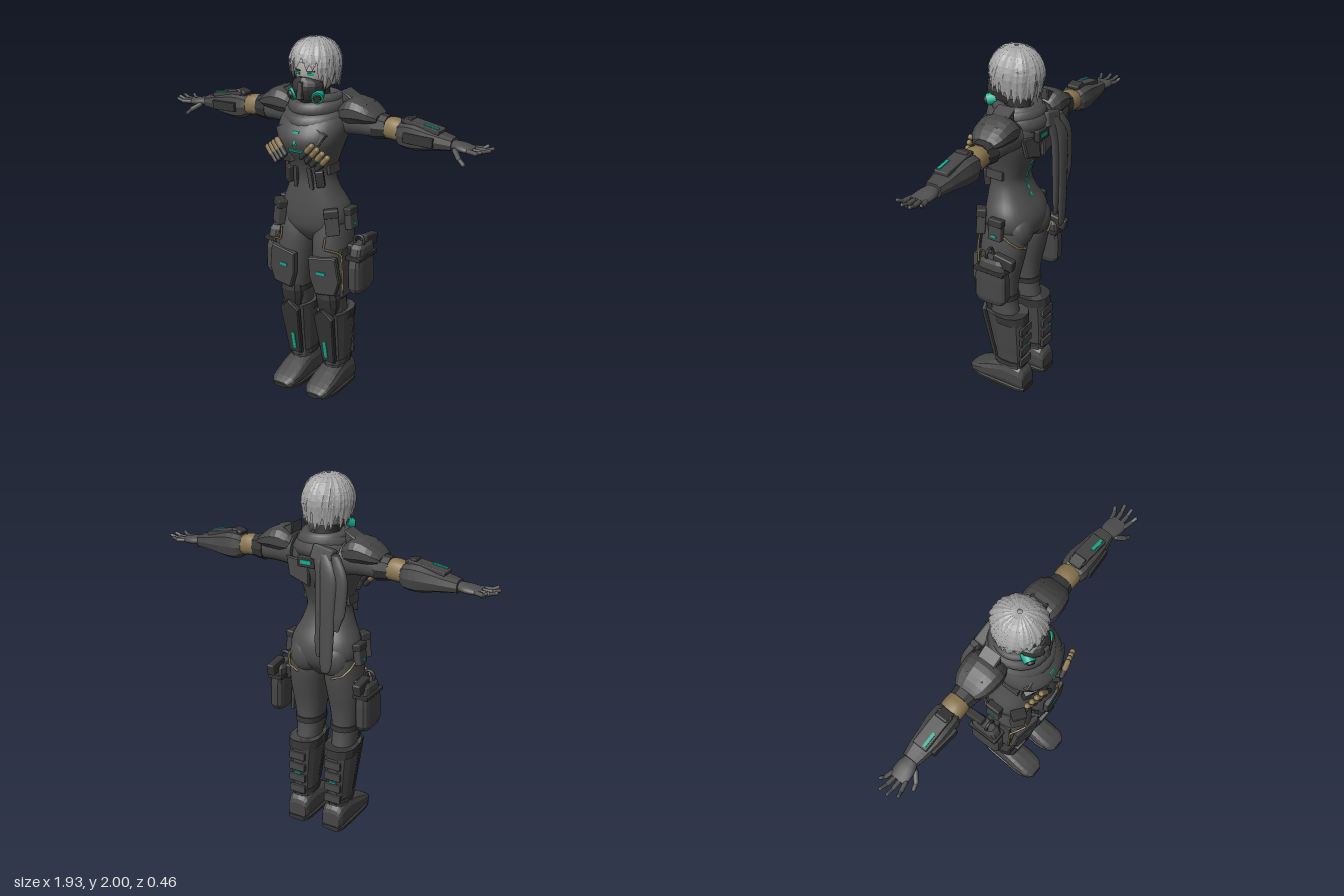
import * as THREE from 'three';
import { RoundedBoxGeometry } from 'three/addons/geometries/RoundedBoxGeometry.js';

const V = (x, y, z) => new THREE.Vector3(x, y, z);
const mat = (name, color) => Object.assign(new THREE.MeshStandardMaterial({ color }), { name });

// Closed skin over rows of points, with capped ends, always facing outwards
function surface(rows, flat) {
  const n = rows[0].length, pos = [], idx = [];
  rows.forEach(r => r.forEach(p => pos.push(p.x, p.y, p.z)));
  for (let i = 0; i < rows.length - 1; i++) for (let j = 0; j < n; j++) {
    const a = i * n + j, b = i * n + (j + 1) % n;
    idx.push(a, b, b + n, a, b + n, a + n);
  }
  [rows[0], rows[rows.length - 1]].forEach((r, end) => {
    const base = pos.length / 3;
    r.forEach(p => pos.push(p.x, p.y, p.z));
    for (let j = 1; j < n - 1; j++) idx.push(base, base + j + (end ? 0 : 1), base + j + (end ? 1 : 0));
  });
  let vol = 0;
  const P = i => V(pos[i * 3], pos[i * 3 + 1], pos[i * 3 + 2]);
  for (let i = 0; i < idx.length; i += 3) vol += P(idx[i]).dot(P(idx[i + 1]).cross(P(idx[i + 2])));
  let g = new THREE.BufferGeometry();
  g.setAttribute('position', new THREE.Float32BufferAttribute(pos, 3));
  g.setIndex(vol < 0 ? idx.reverse() : idx);
  if (flat) g = g.toNonIndexed();
  g.computeVertexNormals();
  return g;
}

// Rings [t, a0, a1, b0, b1] along an axis; power above 2 makes the section squarer
function loft(axis, rings, { sides = 20, power = 2.3, sub = 4, flat = false } = {}) {
  const fine = [], at = i => rings[Math.max(0, Math.min(rings.length - 1, i))];
  for (let i = 0; i < rings.length - 1; i++) for (let s = 0; s < sub; s++) {
    const t = s / sub;
    fine.push(rings[0].map((_, k) => {
      const [p, q, r, w] = [at(i - 1)[k], at(i)[k], at(i + 1)[k], at(i + 2)[k]];
      return q + 0.5 * t * (r - p + t * (2 * p - 5 * q + 4 * r - w + t * (3 * (q - r) + w - p)));
    }));
  }
  fine.push(at(rings.length));
  const e = c => Math.sign(c) * Math.abs(c) ** (2 / power);
  return surface(fine.map(([t, a0, a1, b0, b1]) => Array.from({ length: sides }, (_, j) => {
    const th = (j + 0.5) / sides * Math.PI * 2;
    const a = (a0 + a1) / 2 + (a1 - a0) / 2 * e(Math.cos(th)), b = (b0 + b1) / 2 + (b1 - b0) / 2 * e(Math.sin(th));
    return axis === 'y' ? V(a, t, b) : axis === 'x' ? V(t, a, b) : V(a, b, t);
  })), flat);
}

const box = (w, h, d, x, y, z, rx = 0, ry = 0, rz = 0) =>
  new RoundedBoxGeometry(w, h, d, 1, Math.min(w, h, d) * 0.18).rotateX(rx).rotateY(ry).rotateZ(rz).translate(x, y, z);

function plate(pts, depth, x = 0, y = 0, z = 0, rx = 0, ry = 0) {
  const s = new THREE.Shape(pts.map(p => new THREE.Vector2(...p)));
  return new THREE.ExtrudeGeometry(s, { depth, bevelThickness: 0.006, bevelSize: 0.006, bevelSegments: 1 })
    .rotateX(rx).rotateY(ry).translate(x, y, z);
}

function rod(a, b, r) {
  const d = b.clone().sub(a), q = new THREE.Quaternion().setFromUnitVectors(V(0, 1, 0), d.clone().normalize());
  return new THREE.CapsuleGeometry(r, d.length(), 3, 8).applyQuaternion(q).translate(...a.clone().add(b).multiplyScalar(0.5));
}

const cord = (pts, r) => new THREE.TubeGeometry(
  new THREE.CatmullRomCurve3(pts.map(p => V(...p)), false, 'catmullrom', 0.15), pts.length * 6, r, 5);

function mirror(g) {
  const m = g.clone().scale(-1, 1, 1);
  m.clearGroups();
  m.setIndex((m.index ? [...m.index.array] : [...Array(m.attributes.position.count).keys()]).reverse());
  return m;
}

export function createModel() {
  const model = new THREE.Group();
  model.name = 'armouredFigure';
  const suit = mat('suitGrey', 0x4e4e4e), armour = mat('armourGrey', 0x464646), dark = mat('darkGrey', 0x353535);
  const tan = mat('tan', 0x8a7650), teal = mat('teal', 0x0fae90), hair = mat('hairGrey', 0xa4a4a4), skin = mat('paleSkin', 0xa9a6a3);
  const add = (name, g, m) => { const o = new THREE.Mesh(g, m); o.name = name; model.add(o); return o; };
  const both = (name, g, m) => { add(name + 'Left', g, m); add(name + 'Right', mirror(g), m); };
  // Thin painted plate laid on whatever surface the ray meets first
  const decal = (name, m, w, h, from, dir, pair, spin = 0) => {
    const hit = new THREE.Raycaster(V(...from), V(...dir)).intersectObjects(model.children)[0];
    if (!hit) return;
    const n = hit.face.normal, up = Math.abs(n.y) > 0.8 ? V(0, 0, -1) : V(0, 1, 0);
    const g = new THREE.BoxGeometry(w, h, 0.009).rotateZ(spin)
      .applyMatrix4(new THREE.Matrix4().lookAt(n, V(0, 0, 0), up)).translate(...hit.point);
    pair ? both(name, g, m) : add(name, g, m);
  };
  const F = [0, 0, -1], B = [0, 0, 1];

  // Torso, neck
  add('torso', loft('y', [[0.91, -.05, .05, -.08, .06], [0.98, -.165, .165, -.145, .11], [1.05, -.195, .195, -.165, .125],
    [1.12, -.185, .185, -.15, .125], [1.2, -.148, .148, -.105, .12], [1.28, -.125, .125, -.078, .115], [1.36, -.135, .135, -.1, .14],
    [1.44, -.16, .16, -.135, .185], [1.5, -.178, .178, -.16, .2], [1.57, -.185, .185, -.175, .165], [1.64, -.15, .15, -.16, .1],
    [1.69, -.07, .07, -.11, .04]], { sides: 32 }), suit);
  add('neck', loft('y', [[1.62, -.06, .06, -.1, .04], [1.78, -.055, .055, -.08, .05]]), dark);
  both('buttock', new THREE.SphereGeometry(1, 16, 12).scale(.088, .1, .07).translate(.085, 1.02, -.095), suit);
  // Chest and belly armour
  both('chestPlate', plate([[.015, 0], [.12, .02], [.15, .07], [.1, .1], [.015, .08]], .02, 0, 1.46, .17, -.25, .2), armour);
  both('ribPlate', box(.1, .05, .03, .085, 1.385, .135, .3, .45, -.25), armour);
  both('bellyPouch', box(.045, .09, .035, .095, 1.285, .105, .15, .5, .15), dark);
  both('bellyStrap', box(.025, .12, .02, .045, 1.28, .118, .15, .15, .1), armour);
  both('waistBand', box(.02, .05, .1, .13, 1.33, .03, 0, 0, .1), armour);
  both('shoulderBlade', plate([[.02, 0], [.13, .04], [.15, .13], [.03, .12]], .015, 0, 1.44, -.172, .1), armour);
  for (let i = 0; i < 7; i++) decal('spineLight', teal, .016, .022, [0, 1.2 + i * .037, -1], B, false);
  add('backUnit', box(.1, .06, .03, .02, 1.57, -.18), dark);
  decal('backLight', teal, .06, .02, [.02, 1.57, -1], B, false);
  decal('chestBar', teal, .085, .016, [0, 1.44, 1], F, false);
  add('chestWedge', plate([[-.018, .07], [-.004, 0], [.004, 0], [.018, .07]], .001, 0, 1.475, .198, -.3), teal);

  // Rounds carried under the chest
  for (let i = 0; i < 4; i++) {
    const a = V(.08 + i * .026, 1.458 - i * .019, .205 - i * .009), b = V(a.x - .03, a.y - .035, a.z + .004);
    both('round', rod(a, a.clone().add(V(.025, .03, -.004)), .016), tan);
    both('roundCap', rod(a, b, .0145), dark);
  }

  // Arms
  both('upperArm', loft('x', [[.14, 1.5, 1.67, -.15, .03], [.25, 1.51, 1.65, -.14, .02], [.33, 1.51, 1.63, -.13, .005],
    [.41, 1.515, 1.62, -.12, -.01]]), suit);
  both('shoulderGuard', loft('x', [[.15, 1.57, 1.67, -.14, .03], [.2, 1.56, 1.71, -.16, .05], [.26, 1.57, 1.705, -.16, .05],
    [.32, 1.58, 1.67, -.15, .035], [.36, 1.59, 1.635, -.125, .005]], { sides: 12, flat: true, sub: 2 }), armour);
  both('shoulderFin', plate([[.155, 1.73], [.225, 1.69], [.29, 1.68], [.24, 1.6], [.17, 1.62]], .09, 0, 0, -.1), armour);
  both('armCuff', loft('x', [[.33, 1.5, 1.64, -.137, .01], [.4, 1.51, 1.63, -.125, -.003]], { sides: 10, flat: true, sub: 1 }), dark);
  both('sleeve', loft('x', [[.395, 1.513, 1.622, -.124, -.006], [.44, 1.51, 1.625, -.127, -.004], [.49, 1.505, 1.612, -.125, -.006]], { sides: 12 }), tan);
  both('forearm', loft('x', [[.465, 1.515, 1.6, -.12, -.01], [.49, 1.49, 1.62, -.138, .006], [.56, 1.482, 1.625, -.14, .01],
    [.64, 1.495, 1.605, -.13, .005], [.7, 1.505, 1.59, -.125, -.005], [.765, 1.51, 1.575, -.112, -.018]], { sides: 10, power: 3, sub: 2, flat: true }), armour);
  both('forearmPlate', box(.2, .025, .08, .6, 1.612, -.06, 0, 0, -.17), armour);
  both('elbowFlap', box(.06, .04, .07, .515, 1.622, -.06, 0, 0, .25), dark);
  both('forearmFin', box(.16, .05, .02, .6, 1.55, .006, 0, .08, -.05), dark);
  decal('forearmLight', teal, .08, .016, [.65, 3, -.04], [0, -1, 0], true);
  both('palm', loft('x', [[.75, 1.52, 1.565, -.095, -.03], [.8, 1.515, 1.56, -.11, -.01], [.85, 1.515, 1.55, -.108, -.005],
    [.875, 1.52, 1.545, -.1, -.01]], { sides: 12 }), suit);
  [[-.097, -.118, .925], [-.07, -.085, .965], [-.042, -.042, .965], [-.015, .005, .94]].forEach(([z0, z1, x1]) => {
    const m = V((.86 + x1) / 2 + .005, 1.532, (z0 + z1) / 2);
    both('finger', rod(V(.86, 1.533, z0), m, .012), suit);
    both('fingertip', rod(m, V(x1 - .008, 1.545, z1), .0095), suit);
  });
  both('thumb', rod(V(.79, 1.525, -.015), V(.825, 1.5, .015), .014), suit);
  both('thumbTip', rod(V(.825, 1.5, .015), V(.855, 1.475, .022), .011), suit);

  // Legs
  both('thigh', loft('y', [[1.03, .03, .195, -.14, .1], [.93, .008, .205, -.14, .12], [.82, .015, .21, -.12, .125],
    [.71, .028, .2, -.095, .115], [.61, .04, .185, -.085, .1], [.54, .045, .178, -.09, .08], [.44, .05, .175, -.11, .06]], { sides: 24 }), suit);
  both('thighGuard', plate([[-.075, .17], [.075, .19], [.095, .06], [.07, -.02], [-.04, -.03], [-.07, .06]], .025, .12, .67, .1, .06, .12), armour);
  both('thighSidePlate', box(.02, .27, .11, .207, .76, .02, 0, 0, .05), armour);
  both('kneeGuard', loft('y', [[.66, .06, .17, .02, .105], [.6, .045, .185, 0, .115], [.55, .05, .182, 0, .105], [.49, .065, .165, 0, .09]],
    { sides: 10, sub: 1, flat: true }), dark);
  both('kneeStrap', loft('y', [[.62, .033, .192, -.092, .1], [.59, .035, .19, -.095, .1]], { sub: 1 }), dark);
  decal('thighLight', teal, .05, .016, [.12, .765, 1], F, true);
  both('frontCord', cord([[.14, .975, .122], [.138, .91, .137], [.19, .895, .108], [.217, .87, .085], [.222, .67, .075]], .006), tan);
  both('backCord', cord([[.198, 1.02, -.05], [.19, .985, -.1], [.16, .95, -.135], [.1, .93, -.15]], .006), tan);

  // Hip pouches and holsters
  both('frontPouch', box(.075, .14, .05, .165, 1.055, .1, 0, .6, .12), armour);
  both('frontPouchFlap', box(.08, .045, .055, .16, 1.105, .102, 0, .6, .12), dark);
  both('sidePouch', box(.04, .12, .08, .207, 1.055, -.025, 0, 0, .12), armour);
  both('sidePouchFlap', box(.046, .04, .085, .204, 1.095, -.025, 0, 0, .12), dark);
  decal('pouchLight', teal, .03, .012, [1, 1.025, -.025], [-1, 0, 0], true);
  both('holster', loft('y', [[.65, .235, .3, -.115, .045], [.68, .228, .308, -.135, .06], [.8, .226, .306, -.135, .06],
    [.9, .225, .3, -.125, .03], [.92, .235, .29, -.11, .01]], { sides: 12, power: 4, sub: 1, flat: true }), armour);
  both('holsterBand', box(.09, .022, .185, .266, .85, -.04), dark);
  both('holsterGrip', box(.045, .065, .12, .265, .915, -.115, -.15), dark);
  both('holsterHoop', new THREE.TorusGeometry(.03, .008, 6, 16).translate(.262, .935, -.02), dark);
  both('holsterMount', box(.05, .08, .08, .215, .87, -.03), dark);

  // Boots
  both('boot', loft('y', [[.5, .025, .2, -.145, .09], [.45, .03, .193, -.152, .08], [.3, .045, .18, -.15, .05], [.2, .052, .17, -.145, .028],
    [.12, .05, .172, -.145, .04]], { sides: 12, power: 2.8, sub: 2, flat: true }), armour);
  both('shinPlate', plate([[-.055, .2], [0, .25], [.055, .2], [.035, -.1], [-.035, -.1]], .02, .112, .29, .042, .2), dark);
  both('bootTopCuff', loft('y', [[.5, .022, .205, -.155, .06], [.45, .025, .2, -.16, .05]], { sides: 12, sub: 1, flat: true }), dark);
  for (const y of [.2, .27, .34, .41])
    both('calfBand', box(.1, .045, .018, .113, y, -.15, .02), armour);
  decal('calfLight', teal, .04, .01, [.113, .3, -1], B, true);
  both('ankleBand', loft('y', [[.19, .045, .178, -.152, .036], [.165, .043, .18, -.153, .045]], { sides: 12, sub: 1, flat: true }), dark);
  both('foot', loft('z', [[-.165, .055, .165, .012, .11], [-.14, .045, .175, .004, .155], [-.05, .04, .18, .01, .17], [.03, .035, .185, .015, .15],
    [.1, .032, .188, .02, .118], [.165, .04, .182, .028, .085], [.2, .07, .155, .036, .06]], { sides: 14, power: 3, sub: 2, flat: true }), armour);
  both('sole', loft('z', [[-.17, .06, .16, .002, .03], [-.13, .042, .178, 0, .03], [.03, .033, .187, .008, .035], [.12, .028, .192, .016, .045],
    [.18, .05, .172, .026, .05], [.204, .08, .145, .034, .052]], { sides: 12, power: 4, sub: 2, flat: true }), dark);
  decal('shinLight', teal, .02, .11, [.105, .27, 1], F, true);
  decal('footLight', teal, .045, .014, [.11, 1, .045], [0, -1, 0], true);

  // Scarf folds around the neck and its tails behind
  [[.125, .05, 1.6, -.012, .2], [.11, .042, 1.65, -.015, .1], [.1, .03, 1.685, -.025, -.06]].forEach(([R, r, y, z, tilt]) =>
    add('scarfFold', new THREE.TorusGeometry(R, r, 8, 28).rotateX(Math.PI / 2).scale(1.02, 1.05, 1.04).rotateX(tilt).translate(0, y, z), suit));
  add('scarfKnot', box(.12, .08, .06, -.07, 1.62, -.17, .2, 0, .2), suit);
  [[-.225, -.15, 1.24, 0], [-.17, -.08, 1.0, -.008], [-.12, -.045, 1.08, .004]].forEach(([x0, x1, end, dz]) =>
    add('scarfTail', loft('y', [[end, x0 + .04, x1 - .01, -.228 + dz, -.215 + dz], [end + .06, x0 + .018, x1, -.232 + dz, -.212 + dz],
      [1.35, x0 + .004, x1, -.23 + dz, -.2 + dz], [1.52, x0, x1 + .005, -.222 + dz, -.19 + dz], [1.63, x0 + .06, x1 + .03, -.2, -.16]], { sides: 10 }), suit));

  // Head, mask and eyes
  add('head', new THREE.SphereGeometry(1, 24, 18).scale(.098, .125, .115).translate(0, 1.83, 0), skin);
  decal('eye', teal, .034, .012, [.038, 1.826, 1], F, true);
  decal('brow', dark, .04, .006, [.038, 1.84, 1], F, true);
  add('mask', loft('y', [[1.66, -.04, .04, 0, .1], [1.7, -.072, .072, -.02, .13], [1.75, -.086, .086, -.03, .148], [1.785, -.085, .085, -.03, .14],
    [1.81, -.03, .03, .04, .128]], { sides: 14, power: 2, sub: 2, flat: true }), dark);
  add('maskRidge', box(.028, .09, .03, 0, 1.745, .142, -.1), armour);
  const can = (r, h) => new THREE.CylinderGeometry(r * .85, r, h, 14).rotateX(Math.PI / 2).rotateY(.55).rotateX(.25);
  both('maskFilter', can(.036, .05).translate(.068, 1.715, .09), teal);
  both('filterCap', can(.022, .012).translate(.083, 1.708, .116), dark);

  // Hair: a cap with layers of pointed locks
  const C = V(-.008, 1.85, -.01), R = V(.128, .143, .138);
  add('hairCap', new THREE.SphereGeometry(1, 24, 12, 0, Math.PI * 2, 0, 1.35).scale(R.x * .97, R.y * .97, R.z * .97).translate(...C), hair);
  add('hairBack', loft('y', [[1.75, -.085, .08, -.125, -.01], [1.8, -.105, .1, -.135, -.01], [1.9, -.11, .105, -.135, -.01]]), hair);
  let seed = 7;
  const rnd = () => (seed = (seed * 16807) % 2147483647) / 2147483647;
  for (let layer = 0; layer < 3; layer++) for (let i = 0; i < 24; i++) {
    const th = (i + layer / 3 + rnd() * .5) / 24 * Math.PI * 2, f = Math.abs(th > Math.PI ? th - Math.PI * 2 : th);
    const full = f < .65 ? 1.6 : f < 1 ? 1.95 : f < 1.7 ? 2.2 : 2.38;
    const len = full * (1 - layer * .13) - rnd() * .14, grow = 1 + layer * .025 + rnd() * .035, swirl = -.25 + rnd() * .2;
    const rows = Array.from({ length: 9 }, (_, k) => {
      const t = k / 8, s = .08 + t * len, phi = Math.min(s, Math.PI / 2), drop = Math.max(0, s - Math.PI / 2), a = th + swirl * t;
      const out = Math.sin(phi) * grow * (1 - drop * .1), w = .034 * Math.min(1, t * 2.5 + .15) * Math.sqrt(1 - t) + .0005;
      const p = V(C.x + R.x * out * Math.sin(a), C.y + R.y * Math.cos(phi) * (1 + layer * .006) - drop * .15, C.z + R.z * out * Math.cos(a));
      const side = V(Math.cos(a), 0, -Math.sin(a)), n = V(Math.sin(a) * Math.sin(phi), Math.cos(phi), Math.cos(a) * Math.sin(phi));
      return [[w, 0], [0, w * .3], [-w, 0], [0, -w * .4]].map(([u, v]) => p.clone().addScaledVector(side, u).addScaledVector(n, v));
    });
    add('hairLock', surface(rows, true), hair);
  }
  return model;
}
